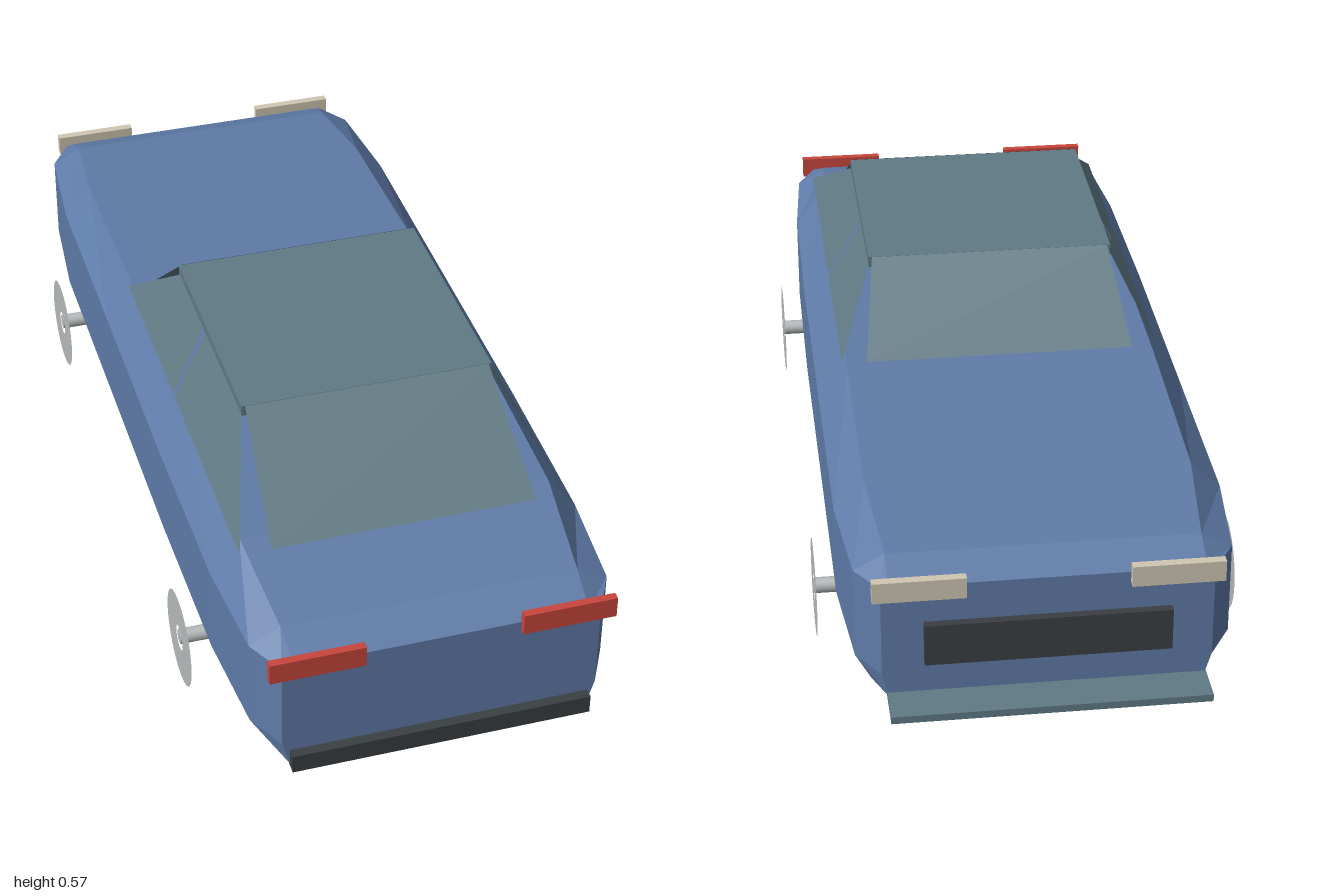
import * as THREE from 'three';

const mat = (name, color, side = THREE.FrontSide) => {
  const m = new THREE.MeshStandardMaterial({ color, side });
  m.name = name;
  return m;
};

// Lofted body shell: each station is [z, half width, top half width, top y, bottom half width]
function bodyGeometry() {
  const stations = [
    [-0.92, 0.315, 0.30, 0.337, 0.30],
    [-0.85, 0.36, 0.30, 0.367, 0.33],
    [-0.63, 0.38, 0.32, 0.393, 0.345],
    [-0.20, 0.38, 0.32, 0.415, 0.345],
    [0.30, 0.38, 0.32, 0.418, 0.345],
    [0.68, 0.375, 0.315, 0.41, 0.34],
    [0.90, 0.357, 0.295, 0.367, 0.325],
    [0.98, 0.315, 0.29, 0.337, 0.30],
  ];
  const pos = [], index = [], n = 8;
  for (const [z, w, t, top, b] of stations) {
    const half = [[b, 0.09], [w, 0.145], [w, 0.335], [t, top]];
    for (const [x, y] of half) pos.push(x, y, z);
    for (const [x, y] of half.reverse()) pos.push(-x, y, z);
  }
  for (let i = 0; i < stations.length - 1; i++) {
    for (let j = 0; j < n; j++) {
      const a = i * n + j, b = i * n + (j + 1) % n;
      index.push(a, b, b + n, a, b + n, a + n);
    }
  }
  const last = (stations.length - 1) * n;
  for (let j = 1; j < n - 1; j++) {
    index.push(0, j + 1, j);
    index.push(last, last + j, last + j + 1);
  }
  const g = new THREE.BufferGeometry();
  g.setAttribute('position', new THREE.Float32BufferAttribute(pos, 3));
  g.setIndex(index);
  const flat = g.toNonIndexed();
  flat.computeVertexNormals();
  return flat;
}

// Flat four-cornered pane
function paneGeometry(corners) {
  const g = new THREE.BufferGeometry();
  g.setAttribute('position', new THREE.Float32BufferAttribute(corners.flat(), 3));
  g.setIndex([0, 1, 2, 0, 2, 3]);
  g.computeVertexNormals();
  return g;
}

export function createModel() {
  const car = new THREE.Group();
  car.name = 'car';
  const paint = mat('bluePaint', 0x5f7ba8);
  const glass = mat('greyGlass', 0x607a84, THREE.DoubleSide);
  const dark = mat('darkTrim', 0x3a3f43);
  const red = mat('redLamp', 0xc9463c);
  const cream = mat('creamLamp', 0xcfc6b2);
  const metal = mat('wheelGrey', 0xb6babb, THREE.DoubleSide);

  const add = (name, geometry, material) => {
    const mesh = new THREE.Mesh(geometry, material);
    mesh.name = name;
    car.add(mesh);
    return mesh;
  };
  // Box given by its limits on each axis
  const box = (name, material, [x0, x1], [y0, y1], [z0, z1]) =>
    add(name, new THREE.BoxGeometry(x1 - x0, y1 - y0, z1 - z0), material)
      .position.set((x0 + x1) / 2, (y0 + y1) / 2, (z0 + z1) / 2);

  add('body', bodyGeometry(), paint);

  // Cabin: roof slab, end screens
  box('roof', glass, [-0.257, 0.257], [0.55, 0.573], [-0.015, 0.488]);
  add('windshield', paneGeometry([
    [0.278, 0.418, -0.19], [-0.278, 0.418, -0.19], [-0.25, 0.573, -0.016], [0.25, 0.573, -0.016]]), glass);
  add('rearWindow', paneGeometry([
    [-0.267, 0.418, 0.738], [0.267, 0.418, 0.738], [0.25, 0.573, 0.489], [-0.25, 0.573, 0.489]]), glass);

  // Trim at both ends
  box('rearBumper', dark, [-0.30, 0.30], [0.085, 0.125], [0.975, 1.0]);
  box('grille', dark, [-0.235, 0.235], [0.17, 0.257], [-0.937, -0.915]);
  box('frontSplitter', glass, [-0.305, 0.305], [0.087, 0.102], [-1.0, -0.91]);

  // One full wheel disc with an open centre
  const disc = new THREE.RingGeometry(0.026, 0.1, 24);
  const axle = new THREE.CylinderGeometry(0.016, 0.016, 0.175, 12);

  for (const s of [1, -1]) {
    const side = s > 0 ? 'left' : 'right';
    const span = (a, b) => (s > 0 ? [a, b] : [-b, -a]);

    // Side panes leaning in towards the roof: [front bottom, rear bottom, rear top, front top] in z
    for (const [name, z] of [['FrontPane', [-0.188, 0.216, 0.19, -0.01]], ['RearPane', [0.226, 0.74, 0.488, 0.205]]]) {
      add(side + name, paneGeometry([
        [s * 0.33, 0.42, z[0]], [s * 0.33, 0.42, z[1]], [s * 0.257, 0.553, z[2]], [s * 0.257, 0.553, z[3]],
      ].reverse()), glass);
    }

    box(side + 'TailLamp', red, span(0.155, 0.342), [0.317, 0.362], [0.977, 0.993]);
    box(side + 'Headlamp', cream, span(0.155, 0.332), [0.315, 0.358], [-0.938, -0.92]);

    // Wheels: paired discs joined by a short axle
    for (const [end, z] of [['Rear', 0.59], ['Front', -0.535]]) {
      const wheel = new THREE.Group();
      wheel.name = side + end + 'Wheel';
      wheel.position.set(0, 0.1, z);
      for (const x of [0.245, 0.419]) {
        const face = new THREE.Mesh(disc, metal);
        face.name = 'wheelDisc';
        face.rotation.y = s * Math.PI / 2;
        face.position.x = s * x;
        wheel.add(face);
      }
      const rod = new THREE.Mesh(axle, metal);
      rod.name = 'axle';
      rod.rotation.z = Math.PI / 2;
      rod.position.set(s * 0.332, 0.003, 0);
      wheel.add(rod);
      car.add(wheel);
    }
  }
  return car;
}
